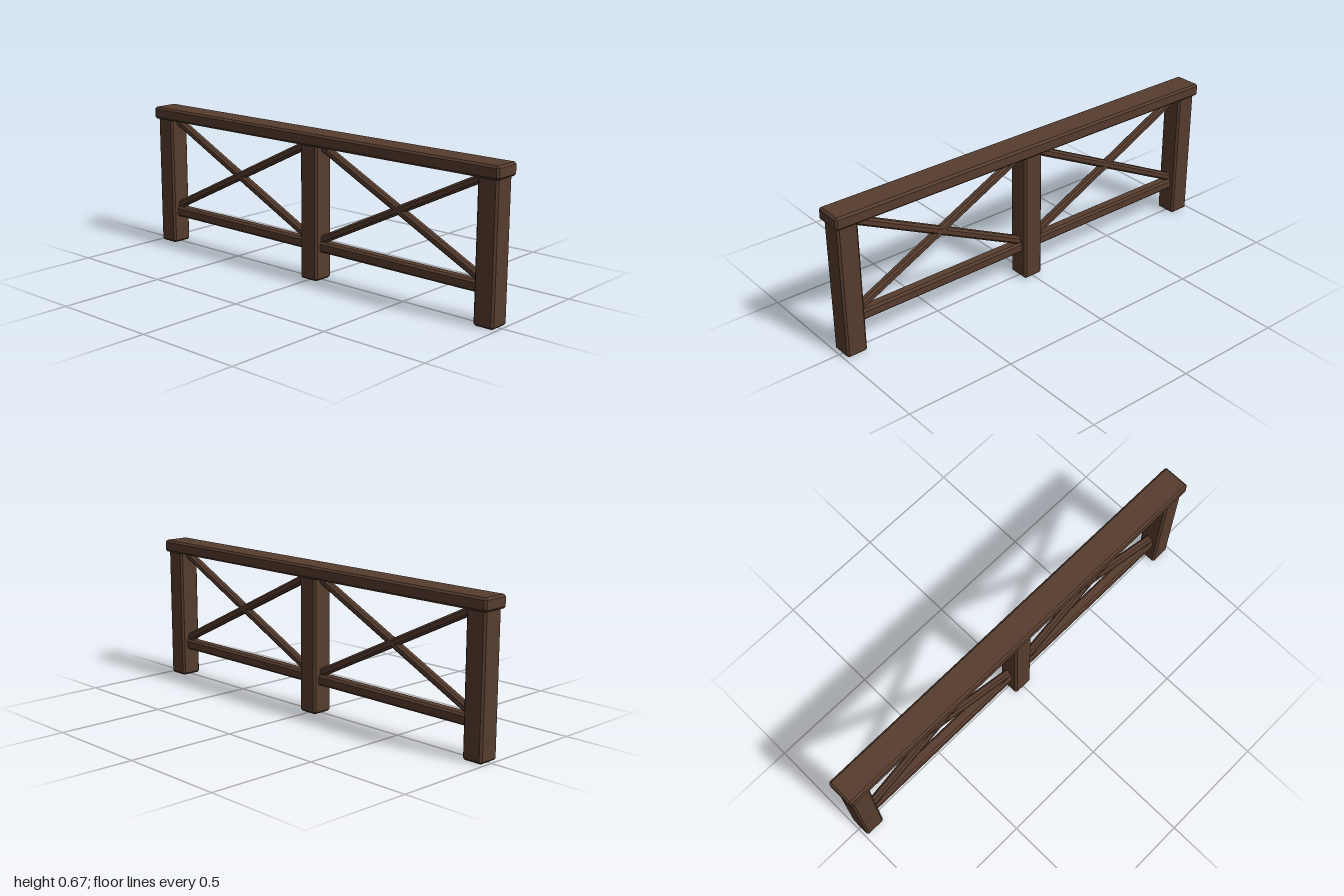
import * as THREE from 'three';
import { ConvexGeometry } from 'three/addons/geometries/ConvexGeometry.js';

// Box with chamfered edges: three corner points at each of the eight corners
function beamGeometry(w, h, d, c = 0.009) {
  const points = [];
  for (const sx of [-1, 1]) for (const sy of [-1, 1]) for (const sz of [-1, 1]) {
    const x = w / 2, y = h / 2, z = d / 2;
    points.push(
      new THREE.Vector3(sx * x, sy * (y - c), sz * (z - c)),
      new THREE.Vector3(sx * (x - c), sy * y, sz * (z - c)),
      new THREE.Vector3(sx * (x - c), sy * (y - c), sz * z)
    );
  }
  return new ConvexGeometry(points);
}

export function createModel() {
  const group = new THREE.Group();
  const wood = new THREE.MeshStandardMaterial({ color: 0x563c2e });
  wood.name = 'dark brown wood';

  function addBeam(name, size, x, y, tilt = 0) {
    const mesh = new THREE.Mesh(beamGeometry(...size), wood);
    mesh.name = name;
    mesh.position.set(x, y, 0);
    mesh.rotation.z = tilt;
    group.add(mesh);
  }

  // Handrail
  addBeam('topRail', [2, 0.057, 0.13], 0, 0.6395);

  // Three posts
  const posts = { rightPost: -0.94, middlePost: 0, leftPost: 0.94 };
  for (const [name, x] of Object.entries(posts)) addBeam(name, [0.097, 0.63, 0.1], x, 0.315);

  // Each bay has a lower rail and two crossing braces
  const tilt = Math.atan2(0.415, 0.845);
  for (const [side, s] of [['right', -1], ['left', 1]]) {
    addBeam(side + 'LowerRail', [0.9, 0.049, 0.052], s * 0.47, 0.155);
    addBeam(side + 'RisingBrace', [0.99, 0.036, 0.036], s * 0.472, 0.395, tilt);
    addBeam(side + 'FallingBrace', [0.99, 0.036, 0.036], s * 0.472, 0.395, -tilt);
  }

  return group;
}
